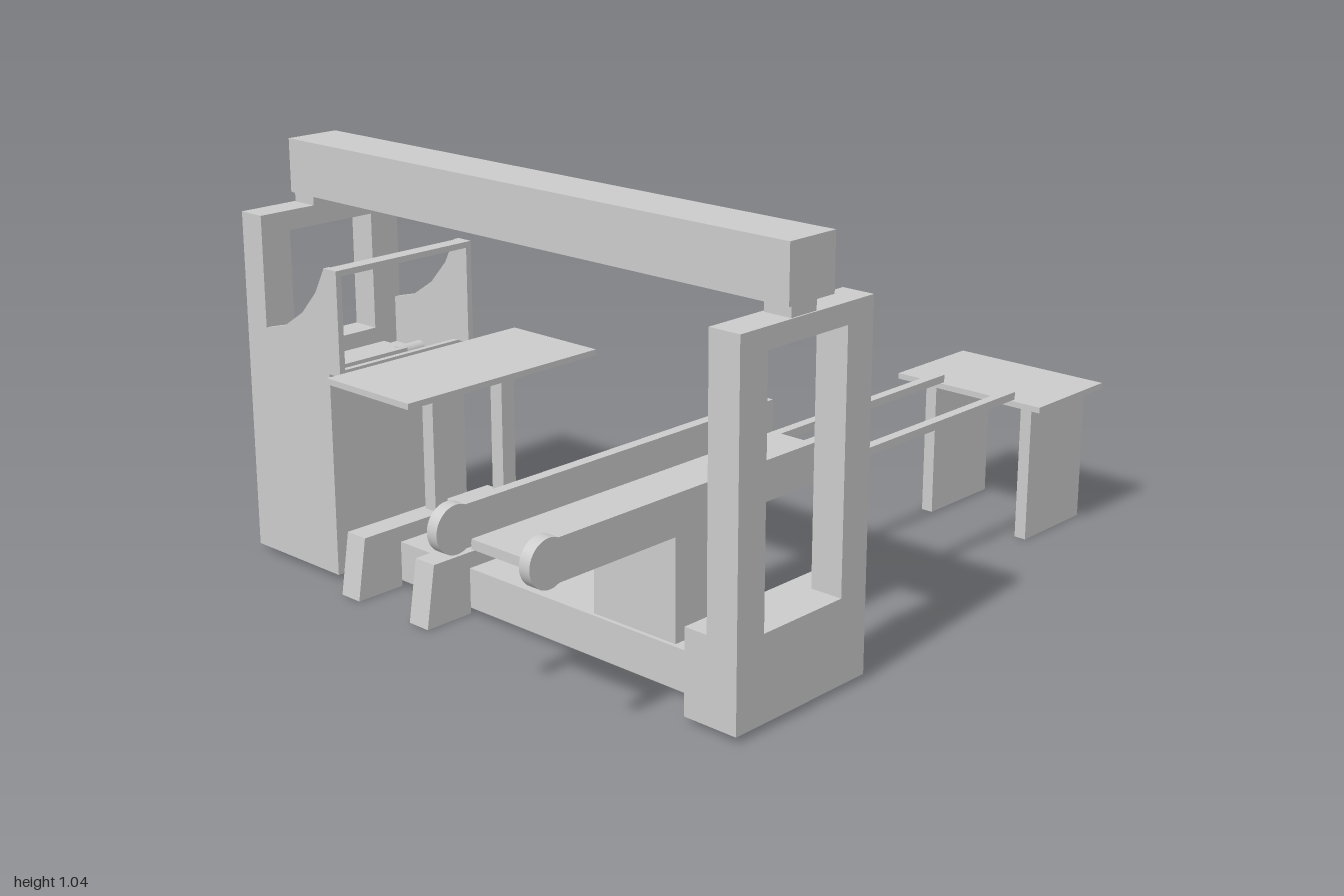
import * as THREE from 'three';

const material = new THREE.MeshStandardMaterial({ color: 0xcccccc, flatShading: true });
const smooth = new THREE.MeshStandardMaterial({ color: 0xcccccc });

export function createModel() {
  const root = new THREE.Group();

  const add = (name, geometry, mat = material) => {
    const mesh = new THREE.Mesh(geometry, mat);
    mesh.name = name;
    root.add(mesh);
    return mesh;
  };
  // Box from its limits on each axis
  const box = (name, x0, x1, y0, y1, z0, z1) =>
    add(name, new THREE.BoxGeometry(x1 - x0, y1 - y0, z1 - z0))
      .position.set((x0 + x1) / 2, (y0 + y1) / 2, (z0 + z1) / 2);

  const polygon = (pts) => new THREE.Shape(pts.map(([a, b]) => new THREE.Vector2(a, b)));
  const rect = (a0, a1, b0, b1) => polygon([[a0, b0], [a1, b0], [a1, b1], [a0, b1]]);
  // Profile drawn in (z, y), extruded along x
  const extrudeX = (name, shape, x0, x1) => {
    const g = new THREE.ExtrudeGeometry(shape, { depth: x1 - x0, bevelEnabled: false, curveSegments: 16 });
    g.rotateY(-Math.PI / 2);
    // the rotation sends shape x to +z and depth to -x
    add(name, g).position.x = x1;
  };
  const zBack = 0.215, zFront = 0.64;

  // Gantry beam, its supports and the base beam
  box('topBeam', -0.803, 0.803, 0.905, 1.04, 0.345, 0.49);
  for (const s of [-1, 1]) box('beamSupport', s * 0.765 - 0.036, s * 0.765 + 0.036, 0.88, 0.905, 0.4, 0.48);
  box('baseBeam', -0.49, 0.66, 0.015, 0.115, 0.31, 0.555);

  // End frame with a tall window
  const frame = rect(zBack, zFront, 0.015, 0.88);
  frame.holes.push(rect(0.3, 0.555, 0.22, 0.83));
  extrudeX('endFrame', frame, 0.722, 0.805);
  box('endFrameFoot', 0.66, 0.722, 0.015, 0.22, zBack, zFront);

  // Machine tower: cabinet, window frame, curved guards
  box('cabinet', -0.73, -0.49, 0.015, 0.48, zBack, zFront);
  const towerFrame = rect(zBack, zFront, 0.015, 0.88);
  towerFrame.holes.push(rect(0.3, 0.555, 0.53, 0.83));
  extrudeX('cabinetFrame', towerFrame, -0.805, -0.73);
  box('cabinetRim', -0.505, -0.49, 0.48, 0.53, zBack + 0.016, zFront - 0.016);
  const guard = polygon([[-0.73, 0.48], [-0.49, 0.48], [-0.49, 0.53], [-0.45, 0.53], [-0.45, 0.79],
    [-0.495, 0.79], [-0.53, 0.725], [-0.585, 0.665], [-0.655, 0.62], [-0.73, 0.6]]);
  for (const z of [zBack, zFront - 0.016]) {
    add('sideGuard', new THREE.ExtrudeGeometry(guard, { depth: 0.016, bevelEnabled: false })).position.z = z;
  }
  box('guardCrossbar', -0.49, -0.45, 0.775, 0.79, zBack + 0.016, zFront - 0.016);

  // Work head inside the cabinet
  box('workBlock', -0.66, -0.57, 0.48, 0.515, 0.33, 0.53);
  const spindle = add('spindle', new THREE.CylinderGeometry(0.018, 0.018, 0.08, 20), smooth);
  spindle.rotation.x = Math.PI / 2;
  spindle.position.set(-0.59, 0.5, 0.31);

  // Service door and knob on the cabinet's outer side
  box('serviceDoor', -0.808, -0.804, 0.25, 0.45, 0.3, 0.555);
  const knob = add('doorKnob', new THREE.CylinderGeometry(0.01, 0.01, 0.008, 16), smooth);
  knob.rotation.z = Math.PI / 2;
  knob.position.set(-0.81, 0.37, 0.51);

  // Work table on two posts, each with a splayed saddle foot over the base beam
  box('workTable', -0.405, -0.115, 0.54, 0.555, 0.115, 0.715);
  const foot = [[0.185, 0], [0.31, 0], [0.31, 0.115], [0.555, 0.115], [0.555, 0],
    [0.69, 0], [0.665, 0.155], [0.21, 0.155]];
  for (const x of [-0.383, -0.134]) {
    box('tablePost', x - 0.019, x + 0.019, 0.155, 0.54, 0.39, 0.43);
    extrudeX('saddleFoot', polygon(foot), x - 0.032, x + 0.032);
  }

  // Conveyor: belt bed, pedestal and round-nosed side rails
  box('conveyorBed', 0.3, 0.547, 0.372, 0.395, -0.065, 0.905);
  box('conveyorPedestal', 0.3, 0.547, 0.115, 0.372, 0.34, 0.545);
  for (const x of [0.286, 0.561]) {
    box('conveyorRail', x - 0.014, x + 0.014, 0.378, 0.475, -0.065, 0.945);
    const nose = add('railNose', new THREE.CylinderGeometry(0.055, 0.055, 0.03, 40), smooth);
    nose.rotation.z = Math.PI / 2;
    nose.position.set(x, 0.427, 0.945);
  }

  // Outfeed bars and rear table on plate legs
  for (const x of [0.313, 0.532]) box('outfeedBar', x - 0.013, x + 0.013, 0.375, 0.395, -0.725, -0.065);
  box('rearTable', 0.19, 0.63, 0.36, 0.375, -1, -0.71);
  for (const x of [0.272, 0.568]) box('rearTableLeg', x - 0.016, x + 0.016, 0, 0.36, -0.99, -0.745);

  return root;
}
